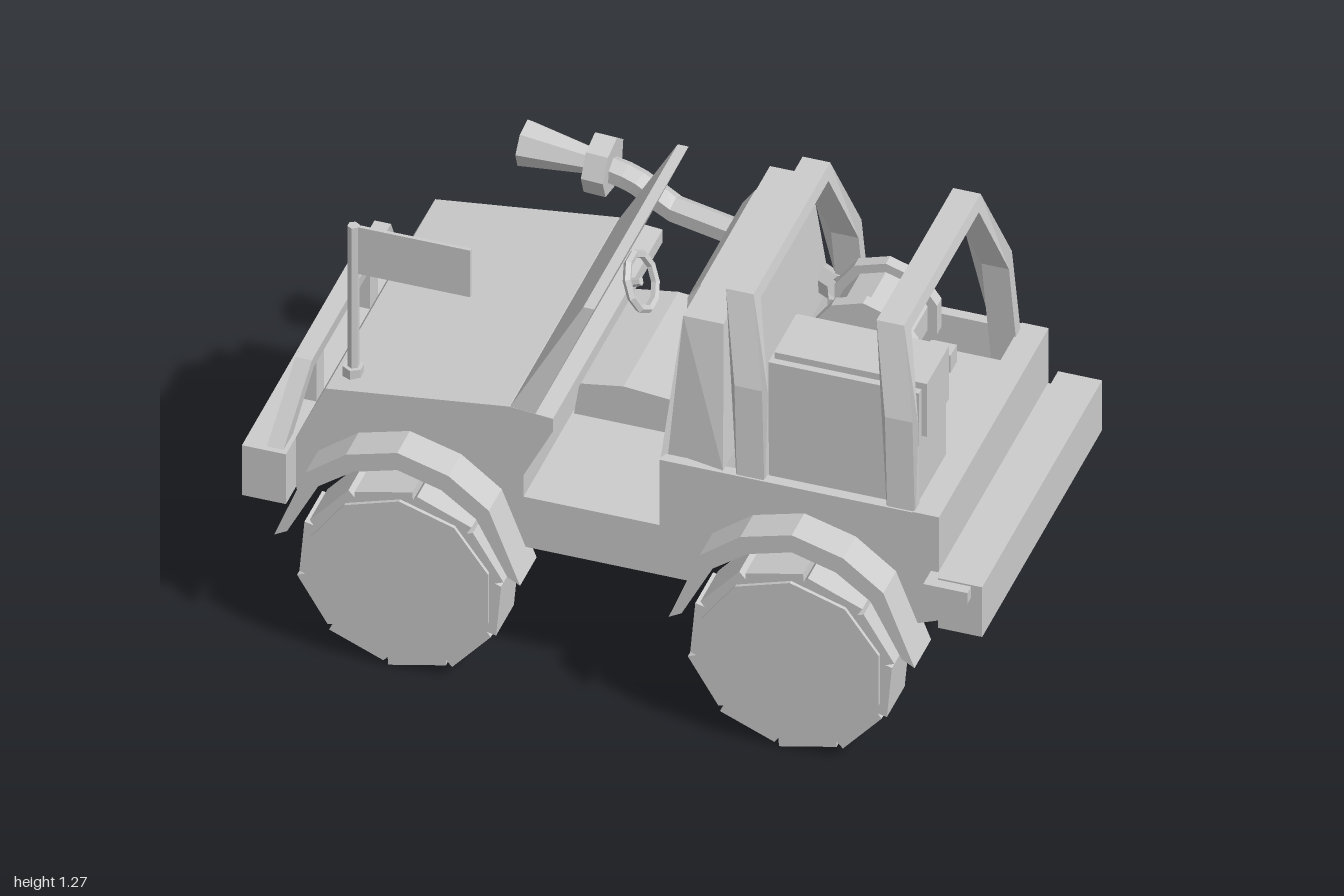
import * as THREE from 'three';

const mat = new THREE.MeshStandardMaterial({ color: 0xcccccc, flatShading: true, side: THREE.DoubleSide });
const V = (x, y, z) => new THREE.Vector3(x, y, z);
const MID = 0.05; // centre line of the body in z

export function createModel() {
  const root = new THREE.Group();

  function add(name, geo, x = 0, y = 0, z = 0) {
    const m = new THREE.Mesh(geo, mat);
    m.name = name;
    m.position.set(x, y, z);
    root.add(m);
    return m;
  }
  // Box from its limits
  const box = (name, x0, x1, y0, y1, z0, z1) => add(name,
    new THREE.BoxGeometry(x1 - x0, y1 - y0, z1 - z0), (x0 + x1) / 2, (y0 + y1) / 2, (z0 + z1) / 2);
  // Side profile extruded across z
  function slab(name, pts, z0, z1) {
    const s = new THREE.Shape(pts.map(p => new THREE.Vector2(p[0], p[1])));
    return add(name, new THREE.ExtrudeGeometry(s, { depth: z1 - z0, bevelEnabled: false }), 0, 0, z0);
  }
  // Narrow a slab towards its top
  function taper(mesh, y0, y1, bottom, top) {
    const p = mesh.geometry.attributes.position, off = mesh.position.z;
    for (let i = 0; i < p.count; i++) {
      const t = THREE.MathUtils.clamp((p.getY(i) - y0) / (y1 - y0), 0, 1);
      const k = p.getZ(i) + off > MID ? 1 : 0;
      p.setZ(i, THREE.MathUtils.lerp(bottom[k], top[k], t) - off);
    }
    mesh.geometry.computeVertexNormals();
  }
  // Straight round or tapered bar between two points
  function rod(name, a, b, r0, r1, sides = 6) {
    const d = b.clone().sub(a);
    const m = add(name, new THREE.CylinderGeometry(r1, r0, d.length(), sides));
    m.position.copy(a).addScaledVector(d, 0.5);
    m.quaternion.setFromUnitVectors(V(0, 1, 0), d.normalize());
    return m;
  }
  // Faceted pipe through a few points
  function pipe(name, pts, r, sides = 6) {
    const path = new THREE.CurvePath();
    for (let i = 1; i < pts.length; i++) path.add(new THREE.LineCurve3(pts[i - 1], pts[i]));
    return add(name, new THREE.TubeGeometry(path, (pts.length - 1) * 4, r, sides));
  }

  // Body tub with wheel arches and open cabin
  const arch = cx => {
    const out = [];
    for (let i = 0; i <= 8; i++) {
      const a = 0.4 + (Math.PI - 0.8) * i / 8;
      out.push([cx + 0.33 * Math.cos(a), 0.285 + 0.33 * Math.sin(a)]);
    }
    return out;
  };
  slab('body', [
    [-0.88, 0.44], [-0.88, 0.6], [-0.8, 0.775], [-0.3, 0.84], [-0.18, 0.83], [-0.18, 0.79],
    [-0.26, 0.63], [-0.26, 0.56], [0.11, 0.56], [0.11, 0.66], [0.87, 0.66], [0.87, 0.44],
    ...arch(0.5), [0.19, 0.4], [-0.26, 0.4], ...arch(-0.57)
  ], -0.38, 0.48);

  // Load bed walls
  box('bedSide', 0.11, 0.87, 0.655, 0.77, 0.45, 0.48);
  box('bedSide', 0.11, 0.87, 0.655, 0.77, -0.38, -0.35);
  box('tailgate', 0.8, 0.872, 0.6, 0.772, -0.38, 0.48);

  // Bulkhead behind the cabin
  const bulkhead = slab('bulkhead', [[0.11, 0.56], [0.28, 0.56], [0.28, 0.77], [0.25, 1.17], [0.14, 1.17], [0.11, 0.77]], -0.37, 0.47);
  taper(bulkhead, 0.77, 1.17, [-0.37, 0.47], [-0.3, 0.38]);

  // Windscreen panel
  const screen = slab('windscreen', [[-0.3, 0.835], [-0.23, 0.83], [-0.085, 1.17], [-0.115, 1.17]], -0.37, 0.48);
  taper(screen, 0.835, 1.17, [-0.37, 0.48], [-0.31, 0.43]);

  // Bumpers
  box('frontBumper', -1, -0.88, 0.44, 0.6, -0.38, 0.56);
  box('rearBumper', 0.88, 1, 0.44, 0.6, -0.43, 0.51);
  box('rearStep', 0.85, 0.97, 0.56, 0.595, -0.38, 0.54);

  // Front guard frame
  const guard = new THREE.Shape([[-0.38, 0.58], [0.56, 0.58], [0.39, 0.785], [-0.23, 0.785]].map(p => new THREE.Vector2(-p[0], p[1])));
  guard.holes.push(new THREE.Path([[-0.3, 0.58], [0.48, 0.58], [0.36, 0.735], [-0.2, 0.735]].map(p => new THREE.Vector2(-p[0], p[1] + 0.005))));
  const frame = add('frontGuard', new THREE.ExtrudeGeometry(guard, { depth: 0.045, bevelEnabled: false }), -0.94, 0, 0);
  frame.rotation.y = Math.PI / 2;
  const fp = frame.geometry.attributes.position; // lean the frame backwards
  for (let i = 0; i < fp.count; i++) fp.setZ(i, fp.getZ(i) + (fp.getY(i) - 0.58) * 0.13);
  for (const z of [-0.13, 0.29]) box('guardPost', -0.93, -0.88, 0.59, 0.75, z - 0.03, z + 0.03);

  // Wheels with stepped tread
  function wheel(name, x, z0, z1) {
    const pts = [], n = 10;
    for (let i = 0; i < n; i++) {
      for (const [f, r] of [[0, 0.287], [0.92, 0.278], [0.97, 0.262]]) {
        const a = (i + f) / n * Math.PI * 2 + 0.2;
        pts.push([x + r * Math.cos(a), 0.285 + r * Math.sin(a)]);
      }
    }
    slab(name, pts, z0 + 0.01, z1 - 0.01);
    const hub = add(name + 'Core', new THREE.CylinderGeometry(0.255, 0.255, z1 - z0, 10), x, 0.285, (z0 + z1) / 2);
    hub.rotation.x = Math.PI / 2;
  }
  wheel('frontWheel', -0.565, 0.42, 0.58);
  wheel('frontWheel', -0.565, -0.49, -0.32);
  wheel('rearWheel', 0.5, 0.42, 0.58);
  wheel('rearWheel', 0.5, -0.47, -0.3);

  // Fenders
  const outer = [[-0.335, 0.35], [-0.25, 0.57], [-0.14, 0.655], [0, 0.695], [0.14, 0.655], [0.25, 0.57], [0.335, 0.35]];
  const inner = [[0.3, 0.37], [0.215, 0.535], [0.12, 0.605], [0, 0.64], [-0.12, 0.605], [-0.215, 0.535], [-0.3, 0.37]];
  for (const cx of [-0.57, 0.505]) {
    const pts = [...outer, ...inner].map(p => [p[0] + cx, p[1]]);
    slab('fender', pts, 0.45, 0.58);
    slab('fender', pts, -0.47, -0.34);
  }

  // Roll bars
  for (const dx of [0, 0.41]) {
    const half = [[0.42, 0.7, 0.36], [0.39, 1.02, 0.345], [0.3, 1.255, 0.29]];
    const pts = [...half, ...half.slice().reverse().map(p => [-p[0], p[1], p[2]])];
    const s = new THREE.Shape([...pts.map(p => [p[0], p[1] + 0.015]),
      ...pts.slice().reverse().map(p => [p[0] - Math.sign(p[0]) * 0.035, p[1] - 0.018])].map(p => new THREE.Vector2(p[0], p[1])));
    const bar = add('rollBar', new THREE.ExtrudeGeometry(s, { depth: 0.075, bevelEnabled: false }), dx, 0, MID + 0.01);
    const p = bar.geometry.attributes.position;
    for (let i = 0; i < p.count; i++) { // swap to x depth and lean forwards
      const z = p.getX(i), y = p.getY(i);
      const lean = y > 1.02 ? 0.345 - (y - 1.02) * 0.23 : 0.36 - (y - 0.7) * 0.047;
      p.setXYZ(i, lean + p.getZ(i) - 0.0375, y, -z);
    }
    bar.geometry.computeVertexNormals();
  }

  // Seat
  slab('seatCushion', [[-0.255, 0.56], [0.1, 0.56], [0.1, 0.66], [-0.12, 0.68], [-0.24, 0.66]], -0.33, 0.1);
  slab('seatBack', [[0.035, 0.64], [0.115, 0.64], [0.115, 1.06], [0.09, 1.06], [0.055, 1.01]], -0.33, 0.1);

  // Steering wheel and column
  const steer = add('steeringWheel', new THREE.TorusGeometry(0.075, 0.012, 5, 10), -0.155, 0.84, -0.14);
  steer.rotation.set(0, Math.PI / 2, 0);
  steer.rotateX(-0.4);
  rod('steeringColumn', V(-0.25, 0.8, -0.14), V(-0.155, 0.84, -0.14), 0.012, 0.012);

  // Crate with a small latch
  box('crate', 0.36, 0.77, 0.66, 1.05, 0.13, 0.345);
  box('crateLid', 0.37, 0.785, 0.9, 1.07, 0.15, 0.325);
  box('crateLatch', 0.72, 0.785, 0.975, 1.03, 0.09, 0.14);

  // Cable spool
  for (const [r, z0, z1] of [[0.147, -0.1, -0.065], [0.12, -0.25, -0.09], [0.147, -0.28, -0.245]]) {
    const m = add('spool', new THREE.CylinderGeometry(r, r, z1 - z0, 10), 0.475, 0.83, (z0 + z1) / 2);
    m.rotation.x = Math.PI / 2;
  }

  // Hose with collar and flared nozzle
  pipe('hose', [V(0.33, 0.83, -0.29), V(0.23, 0.815, -0.36), V(0.08, 0.815, -0.43),
    V(-0.18, 0.83, -0.475), V(-0.3, 0.88, -0.5), V(-0.4, 0.895, -0.51)], 0.038);
  rod('hoseCollar', V(-0.36, 0.897, -0.51), V(-0.42, 0.9, -0.51), 0.082, 0.082, 7);
  rod('nozzle', V(-0.4, 0.9, -0.51), V(-0.605, 0.912, -0.515), 0.033, 0.064, 7);

  // Flag on the hood
  rod('flagBase', V(-0.75, 0.76, 0.405), V(-0.75, 0.81, 0.405), 0.028, 0.028);
  rod('flagPole', V(-0.75, 0.78, 0.405), V(-0.75, 1.26, 0.405), 0.016, 0.016);
  box('flag', -0.745, -0.43, 1.11, 1.26, 0.4, 0.41);

  return root;
}
